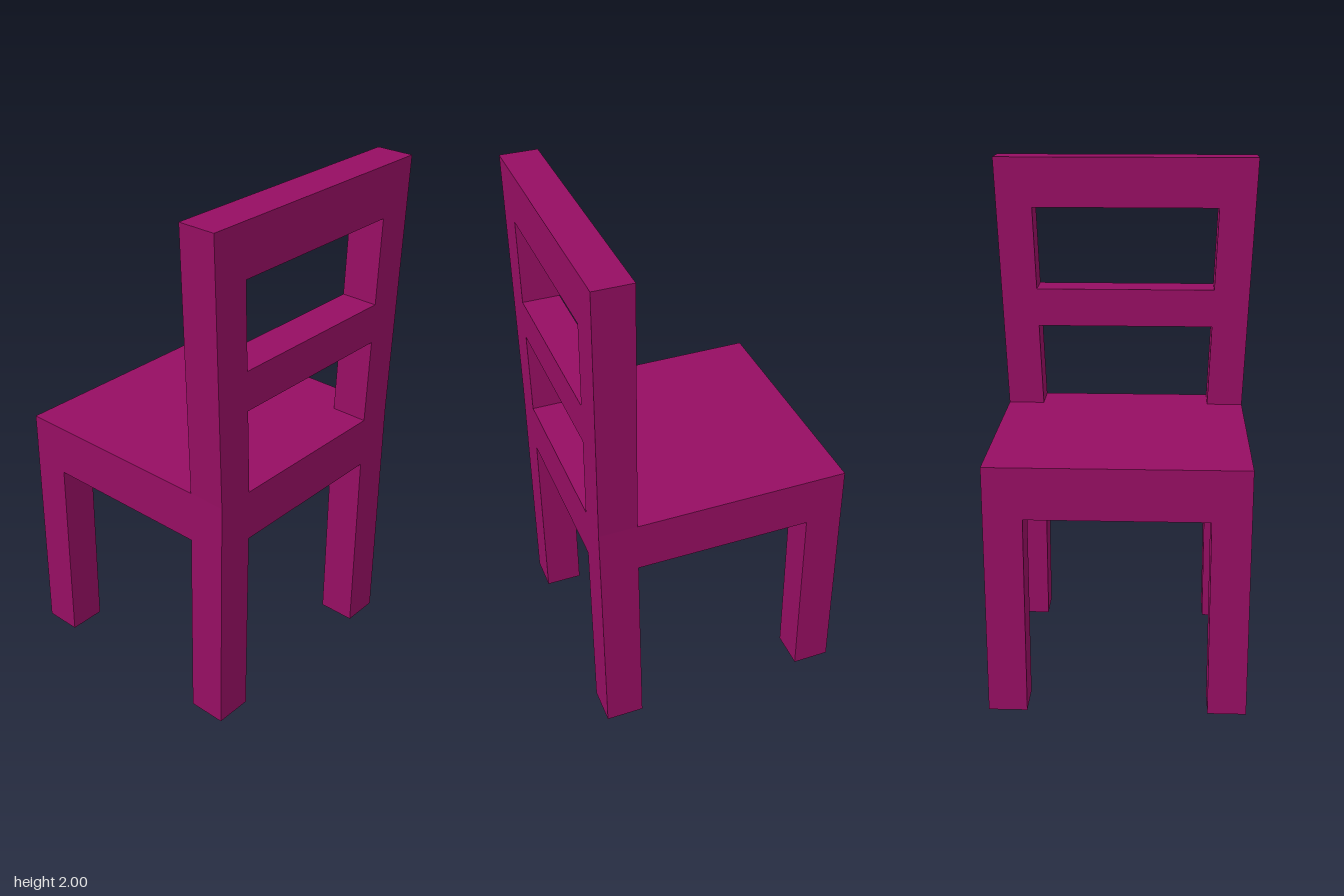
import * as THREE from 'three';

const HALF = 0.49;        // half width of the seat
const POST = 0.147;       // thickness of legs and posts
const SEAT_LOW = 0.78, SEAT_TOP = 0.98;
const BACK_X = HALF - POST;

// Half width between the flaring posts at a given height
const innerAt = (y) => 0.345 + (y - SEAT_TOP) * 0.041;

const points = (list) => list.map(([x, y]) => new THREE.Vector2(x, y));

// Opening between the posts, following their flare
function opening(y0, y1) {
  const a = innerAt(y0), b = innerAt(y1);
  return new THREE.Path(points([[-a, y0], [-b, y1], [b, y1], [a, y0]]));
}

export function createModel() {
  const group = new THREE.Group();
  group.name = 'chair';
  const material = new THREE.MeshStandardMaterial({ color: 0x960e62 });

  function add(name, geometry, x = 0, y = 0, z = 0) {
    const mesh = new THREE.Mesh(geometry, material);
    mesh.name = name;
    mesh.position.set(x, y, z);
    group.add(mesh);
    return mesh;
  }

  // Back frame: rear legs, flaring posts and rails in one outline
  const half = [[HALF - POST, SEAT_LOW], [HALF - POST, 0], [HALF, 0], [HALF, SEAT_TOP], [0.533, 2]];
  const mirrored = half.map(([x, y]) => [-x, y]).reverse();
  const outline = new THREE.Shape(points([...half, ...mirrored]));
  outline.holes.push(opening(SEAT_TOP, 1.313), opening(1.467, 1.8));
  const frame = new THREE.ExtrudeGeometry(outline, { depth: POST, bevelEnabled: false });
  frame.rotateY(Math.PI / 2);
  add('backFrame', frame, BACK_X);

  // Seat slab, meeting the back frame
  const seatLength = HALF + BACK_X;
  add('seat', new THREE.BoxGeometry(seatLength, SEAT_TOP - SEAT_LOW, HALF * 2),
    (BACK_X - HALF) / 2, (SEAT_TOP + SEAT_LOW) / 2);

  // Front legs
  for (const side of [-1, 1]) {
    add(side > 0 ? 'frontLegA' : 'frontLegB', new THREE.BoxGeometry(POST, SEAT_LOW, POST),
      -HALF + POST / 2, SEAT_LOW / 2, side * (HALF - POST / 2));
  }
  return group;
}
